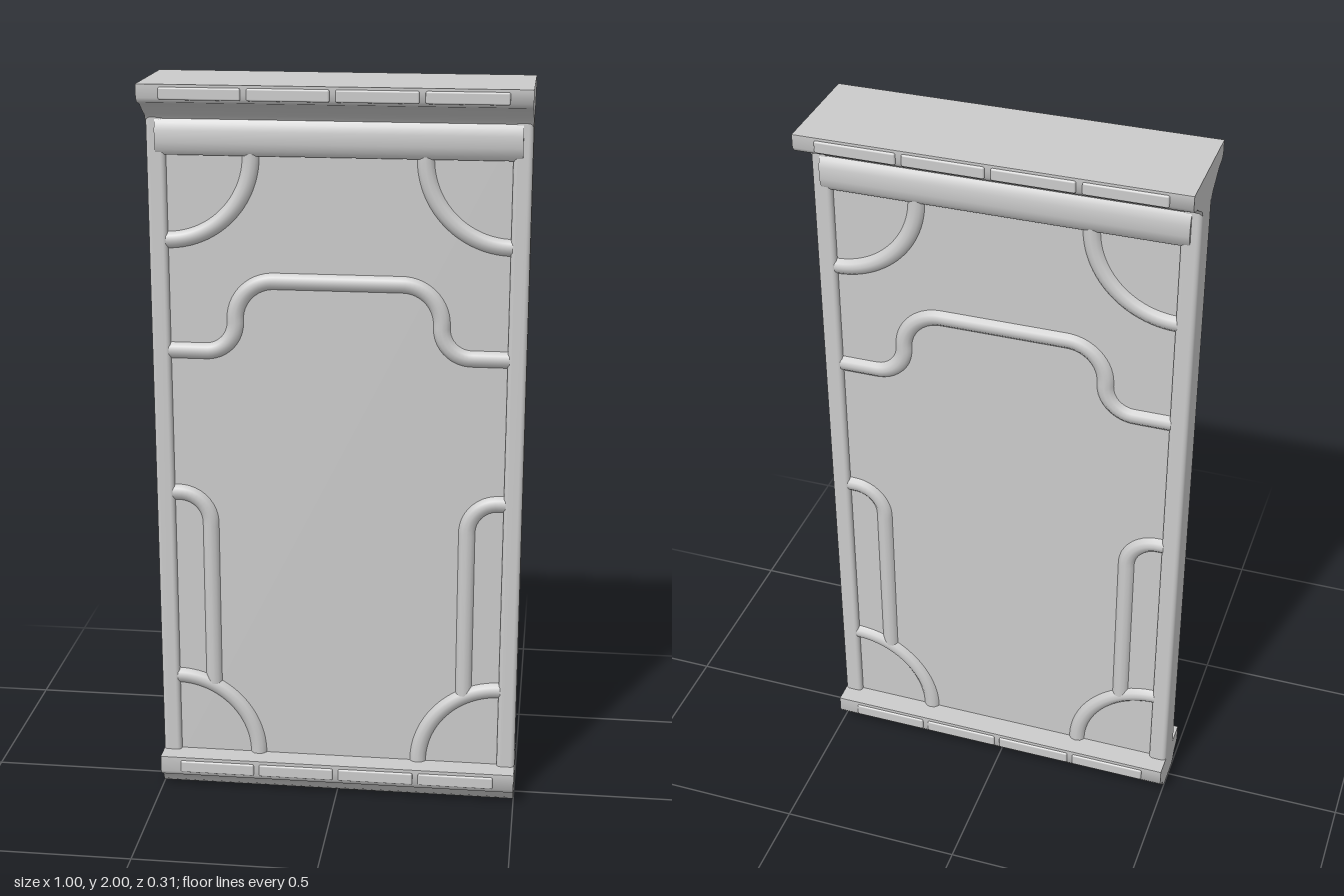
import * as THREE from 'three';
import { toCreasedNormals } from 'three/addons/utils/BufferGeometryUtils.js';
import { RoundedBoxGeometry } from 'three/addons/geometries/RoundedBoxGeometry.js';

const grey = new THREE.MeshStandardMaterial({ color: 0xcccccc });

// Moulding along x from one half of a [z, y] profile, listed bottom to top
function moulding(half, length) {
  const right = half.map(([z, y]) => new THREE.Vector2(z, y));
  const left = half.map(([z, y]) => new THREE.Vector2(-z, y)).reverse();
  const geo = new THREE.ExtrudeGeometry(new THREE.Shape([...right, ...left]), { depth: length, bevelEnabled: false });
  geo.translate(0, 0, -length / 2).rotateY(Math.PI / 2);
  return toCreasedNormals(geo, 0.8);
}

// Polyline in the xy plane with rounded corners; each point is [x, y, corner radius]
function roundedPath(points) {
  const path = new THREE.CurvePath();
  const v = points.map(([x, y]) => new THREE.Vector3(x, y, 0));
  let last = v[0];
  for (let i = 1; i < v.length - 1; i++) {
    const r = points[i][2];
    const a = v[i].clone().add(v[i - 1].clone().sub(v[i]).setLength(r));
    const b = v[i].clone().add(v[i + 1].clone().sub(v[i]).setLength(r));
    // Cubic handles at 0.5523 of the radius give a near-circular bend
    const ha = a.clone().lerp(v[i], 0.5523), hb = b.clone().lerp(v[i], 0.5523);
    if (a.distanceTo(last) > 1e-4) path.add(new THREE.LineCurve3(last, a));
    path.add(new THREE.CubicBezierCurve3(a, ha, hb, b));
    last = b;
  }
  if (last.distanceTo(v[v.length - 1]) > 1e-4) path.add(new THREE.LineCurve3(last, v[v.length - 1]));
  return path;
}

export function createModel() {
  const model = new THREE.Group();
  model.name = 'decorativePanel';
  const add = (name, geo, x = 0, y = 0, z = 0) => {
    const mesh = new THREE.Mesh(geo, grey);
    mesh.name = name;
    mesh.position.set(x, y, z);
    model.add(mesh);
    return mesh;
  };

  // Recessed panel and side posts
  add('panel', new THREE.BoxGeometry(0.92, 1.84, 0.07), 0, 0.98, 0);
  for (const s of [-1, 1]) {
    add(s > 0 ? 'leftPost' : 'rightPost', new RoundedBoxGeometry(0.05, 1.88, 0.1, 3, 0.012), s * 0.475, 0.99, 0);
  }

  // Cornice, rail below it and base
  add('cornice', moulding([
    [0.045, 1.895], [0.055, 1.91], [0.085, 1.928], [0.11, 1.945], [0.14, 1.953], [0.15, 1.965], [0.15, 2],
  ], 1));
  add('topRail', moulding([
    [0.045, 1.806], [0.055, 1.82], [0.06, 1.84], [0.06, 1.87], [0.055, 1.89], [0.045, 1.905],
  ], 0.95));
  add('base', moulding([
    [0.045, 0], [0.06, 0.012], [0.07, 0.032], [0.09, 0.042], [0.1, 0.055], [0.1, 0.1],
  ], 1));

  // Four shallow raised strips along each edge of cornice and base
  const corniceStrip = new RoundedBoxGeometry(0.21, 0.032, 0.02, 2, 0.005);
  const baseStrip = new RoundedBoxGeometry(0.21, 0.035, 0.02, 2, 0.005);
  for (const side of [-1, 1]) {
    for (let i = 0; i < 4; i++) {
      const x = -0.3375 + i * 0.225;
      add('corniceStrip', corniceStrip, x, 1.977, side * 0.145);
      add('baseStrip', baseStrip, x, 0.073, side * 0.095);
    }
  }

  // Half-sunk tubular ornament on both faces
  const tube = (points, segments) => new THREE.TubeGeometry(roundedPath(points), segments, 0.025, 12);
  const arch = tube([
    [-0.455, 1.28], [-0.275, 1.28, 0.08], [-0.275, 1.475, 0.105],
    [0.275, 1.475, 0.105], [0.275, 1.28, 0.08], [0.455, 1.28],
  ], 96);
  for (const face of [-1, 1]) {
    const z = face * 0.025;
    add('arch', arch, 0, 0, z);
    for (const s of [-1, 1]) {
      add('upperCornerArc', tube([[s * 0.455, 1.58], [s * 0.227, 1.58, 0.228], [s * 0.227, 1.815]], 28), 0, 0, z);
      add('lowerCornerArc', tube([[s * 0.455, 0.328], [s * 0.227, 0.328, 0.228], [s * 0.227, 0.09]], 28), 0, 0, z);
      add('sideBracket', tube([[s * 0.455, 0.877], [s * 0.352, 0.877, 0.085], [s * 0.352, 0.31]], 48), 0, 0, z);
    }
  }
  return model;
}
